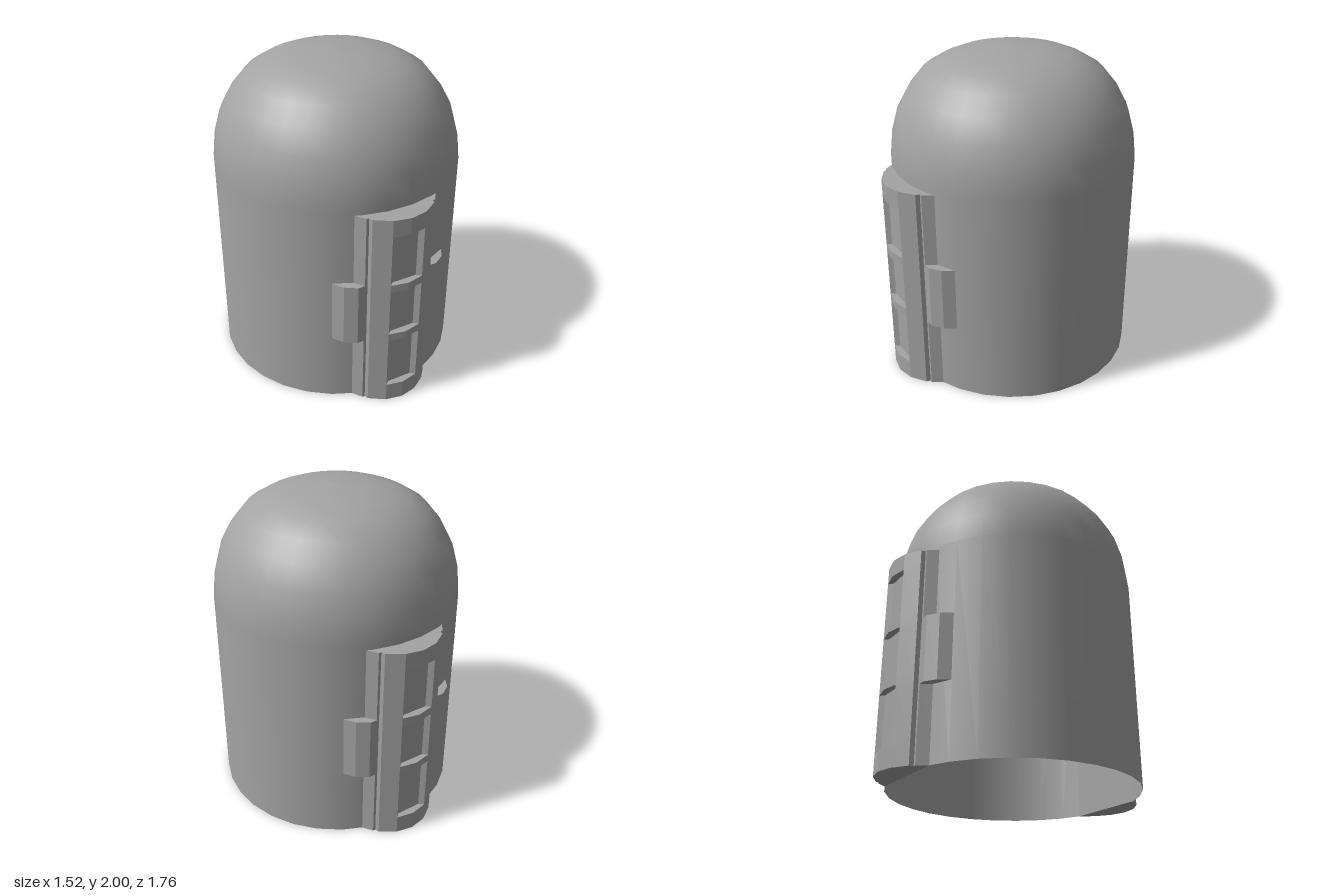
import * as THREE from 'three';

const grey = new THREE.MeshStandardMaterial({ color: 0xa3a3a3, side: THREE.DoubleSide });
grey.name = 'grey';

// Vertical prism: plan outline in (x, z), standing from y0 to y1
function prism(name, plan, y0, y1) {
  const shape = new THREE.Shape(plan.map(([x, z]) => new THREE.Vector2(x, -z)));
  const geo = new THREE.ExtrudeGeometry(shape, { depth: y1 - y0, bevelEnabled: false });
  geo.rotateX(-Math.PI / 2).translate(0, y0, 0);
  const mesh = new THREE.Mesh(geo, grey);
  mesh.name = name;
  return mesh;
}

// Completes a right-hand outline with its mirror image
const mirror = (half) => [...half, ...half.map(([x, z]) => [-x, z]).reverse()];

// Door plan from the back chord round to the bowed front
const edge = [[0.265, 0.71], [0.223, 0.77], [0.207, 0.77], [0.2, 0.795], [0.105, 0.857]];
const solidPlan = mirror([...edge, [0.001, 0.878]]);
const windowPlan = mirror([...edge, [0.078, 0.832]]);

function createDoor(name) {
  const door = new THREE.Group();
  door.name = name;

  // Alternate solid rails and recessed windows up the door
  const levels = [0, 0.12, 0.47, 0.52, 0.825, 0.875, 1.2, 1.307];
  for (let i = 0; i < levels.length - 1; i++) {
    const recessed = i % 2 === 1;
    door.add(prism(recessed ? 'windowRecess' : 'doorRail',
      recessed ? windowPlan : solidPlan, levels[i], levels[i + 1]));
  }

  // Side brackets wrapping onto the body
  for (const s of [1, -1]) {
    const plan = [[0.21, 0.725], [0.21, 0.77], [0.265, 0.77], [0.335, 0.725], [0.38, 0.655], [0.309, 0.688]];
    door.add(prism(s > 0 ? 'leftBracket' : 'rightBracket', plan.map(([x, z]) => [s * x, z]), 0.455, 0.857));
  }
  return door;
}

export function createModel() {
  const model = new THREE.Group();
  model.name = 'domedCapsule';

  // Open-bottomed shell with a blunt dome
  const profile = [
    [0.76, 0], [0.76, 1.33], [0.742, 1.487], [0.702, 1.63], [0.636, 1.75], [0.545, 1.86],
    [0.44, 1.923], [0.344, 1.96], [0.2, 1.99], [0, 2],
  ].map(([r, y]) => new THREE.Vector2(r, y));
  const shell = new THREE.Mesh(new THREE.LatheGeometry(profile, 30, Math.PI / 2), grey);
  shell.name = 'shell';
  model.add(shell);

  // Matching doors front and back
  const backDoor = createDoor('backDoor');
  backDoor.rotation.y = Math.PI;
  model.add(createDoor('frontDoor'), backDoor);
  return model;
}
